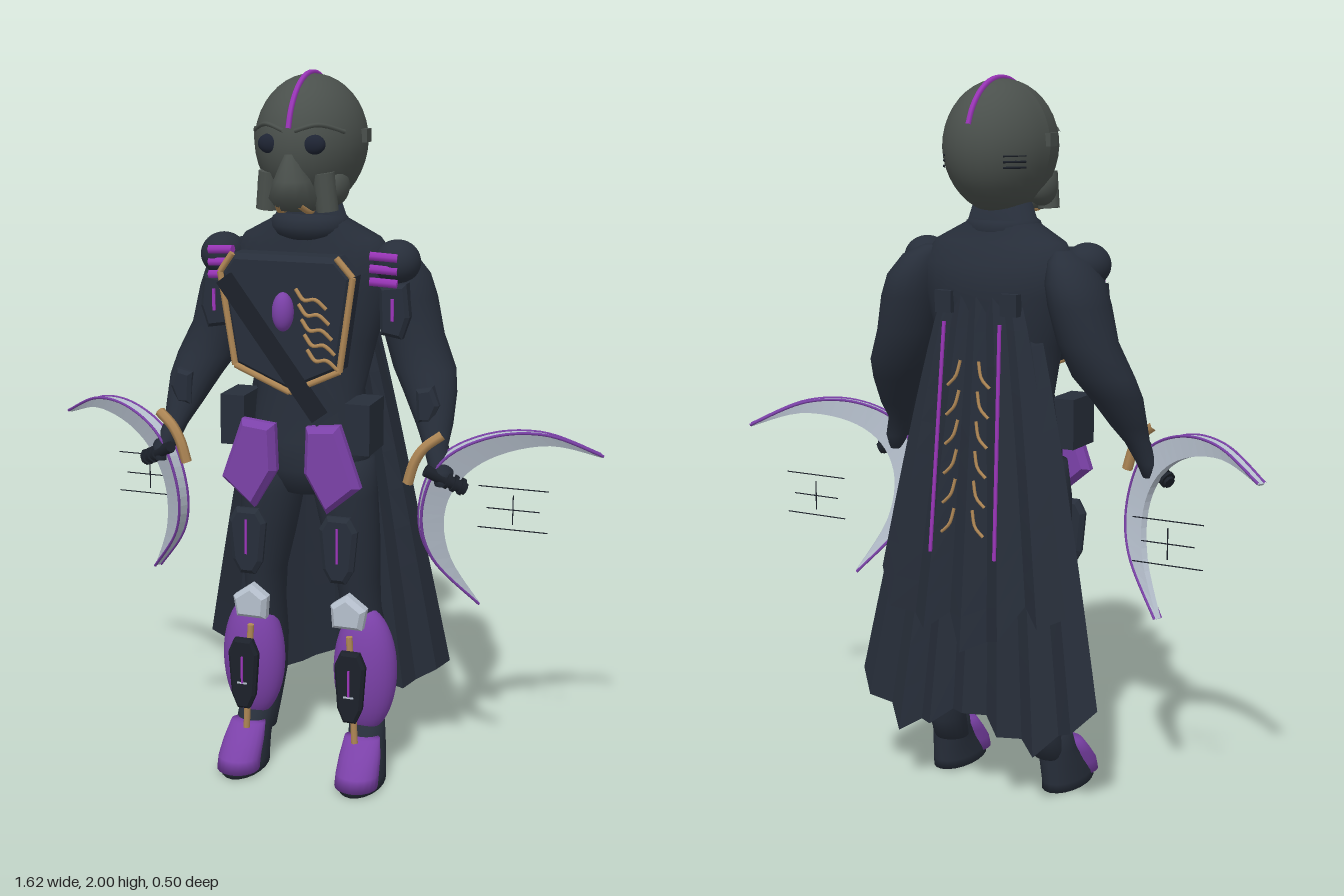
import * as THREE from 'three';

const mat = (name, color, side = THREE.FrontSide) =>
  Object.assign(new THREE.MeshStandardMaterial({ color, side }), { name });
const M = {
  cloth: mat('navy cloth', 0x272e3a, THREE.DoubleSide),
  helmet: mat('grey green helmet', 0x4a504c),
  purple: mat('purple armour', 0x7b41a8),
  glow: mat('bright purple trim', 0x9a35b8),
  silver: mat('steel', 0xb6c0cd, THREE.DoubleSide),
  gold: mat('bronze', 0xb08856),
  black: mat('black plate', 0x1c212a),
  lens: mat('dark lens', 0x1e2433),
};
const V = (x, y, z) => new THREE.Vector3(x, y, z);

// Skin a grid of points; rows run upward, loops close when asked
function skin(rows, closed, flat) {
  const n = rows[0].length, idx = [], m = closed ? n : n - 1;
  for (let i = 0; i < rows.length - 1; i++)
    for (let j = 0; j < m; j++) {
      const a = i * n + j, b = i * n + (j + 1) % n;
      idx.push(a, a + n, b, b, a + n, b + n);
    }
  let g = new THREE.BufferGeometry();
  g.setAttribute('position', new THREE.Float32BufferAttribute(rows.flat(2), 3));
  g.setIndex(idx);
  if (flat) g = g.toNonIndexed();
  g.computeVertexNormals();
  return g;
}
// Body form from ellipses [x, y, z, rx, rz], lowest first, closed at both ends
function loft(rings, sides = 20) {
  const ends = r => [r[0], r[1], r[2], 0.0001, 0.0001];
  const all = [ends(rings[0]), ...rings, ends(rings[rings.length - 1])];
  return skin(all.map(([x, y, z, rx, rz]) => Array.from({ length: sides }, (_, k) => {
    const a = k / sides * Math.PI * 2;
    return [x + rx * Math.cos(a), y, z + rz * Math.sin(a)];
  })), true);
}
const ball = (x, y, z, rx, ry, rz) => new THREE.SphereGeometry(1, 28, 20).scale(rx, ry, rz).translate(x, y, z);
const box = (x, y, z, w, h, d, rz = 0) => new THREE.BoxGeometry(w, h, d).rotateZ(rz).translate(x, y, z);
const tube = (pts, r, seg = 16) =>
  new THREE.TubeGeometry(new THREE.CatmullRomCurve3(pts.map(p => V(...p))), seg, r, 6);
function rod(a, b, r, sides = 8) {
  const p = V(...a), q = V(...b), d = q.clone().sub(p);
  return new THREE.CylinderGeometry(r, r, d.length(), sides)
    .applyQuaternion(new THREE.Quaternion().setFromUnitVectors(V(0, 1, 0), d.normalize()))
    .translate(...p.add(q).multiplyScalar(0.5).toArray());
}
function plate(pts, z, depth, bevel = 0.01, thick = bevel) {
  return new THREE.ExtrudeGeometry(new THREE.Shape(pts.map(p => new THREE.Vector2(...p))), {
    depth, bevelThickness: thick, bevelSize: bevel, bevelOffset: -bevel, bevelSegments: 1,
  }).translate(0, 0, z);
}
function mirrored(g) {
  const c = g.clone().scale(-1, 1, 1);
  const i = c.index ? Array.from(c.index.array) : Array.from({ length: c.attributes.position.count }, (_, k) => k);
  c.setIndex(i.reverse());
  return c;
}

export function createModel() {
  const root = new THREE.Group();
  root.name = 'armouredWarrior';
  const add = (name, g, m) => {
    const mesh = new THREE.Mesh(g, m);
    mesh.name = name;
    root.add(mesh);
  };
  const both = (name, g, m) => { add(name + 'Left', g, m); add(name + 'Right', mirrored(g), m); };

  // Head: egg-shaped helmet narrowing to the jaw
  const skull = ball(0, 0, 0, 0.149, 0.18, 0.187), sp = skull.attributes.position;
  for (let i = 0; i < sp.count; i++) {
    const y = sp.getY(i);
    if (y < 0) sp.setX(i, sp.getX(i) * (1 + y * 0.3));
  }
  skull.computeVertexNormals();
  add('helmet', skull.translate(0, 1.81, -0.008), M.helmet);
  const arc = Array.from({ length: 13 }, (_, i) => {
    const a = 0.25 + i / 12 * 2.55;
    return [0, 1.81 + 0.182 * Math.sin(a), -0.008 + 0.191 * Math.cos(a)];
  });
  add('crest', tube(arc, 0.008, 40), M.glow);
  add('muzzle', loft([[0, 1.64, 0.1, 0.055, 0.06], [0, 1.675, 0.135, 0.065, 0.08], [0, 1.72, 0.145, 0.05, 0.06],
    [0, 1.79, 0.148, 0.018, 0.035]], 12), M.helmet);
  both('eye', ball(0.057, 1.815, 0.152, 0.036, 0.027, 0.02), M.lens);
  both('brow', tube([[0.015, 1.85, 0.175], [0.07, 1.865, 0.15], [0.125, 1.845, 0.09]], 0.006), M.helmet);
  both('earKnob', box(0.148, 1.83, -0.01, 0.025, 0.035, 0.04), M.helmet);
  both('cheekFilter', rod([0.085, 1.64, 0.11], [0.075, 1.74, 0.115], 0.03, 12), M.helmet);
  both('jawPad', ball(0.09, 1.7, 0.06, 0.035, 0.05, 0.06), M.helmet);
  both('breathPipe', tube([[0.03, 1.66, 0.175], [0.04, 1.64, 0.13], [0.03, 1.645, 0.05]], 0.009), M.gold);
  for (let i = 0; i < 3; i++) {
    const y = 1.79 - i * 0.015;
    both('sideVent', tube([[0.124, y, -0.1], [0.108, y, -0.13], [0.086, y, -0.157]], 0.003, 6), M.black);
  }

  // Torso and collar
  add('torso', loft([[0, 0.85, 0.01, 0.08, 0.08], [0, 0.92, 0.01, 0.175, 0.105], [0, 1.0, 0.01, 0.175, 0.105],
    [0, 1.14, 0, 0.155, 0.095], [0, 1.28, -0.015, 0.185, 0.115], [0, 1.42, -0.025, 0.225, 0.125],
    [0, 1.5, -0.022, 0.235, 0.115], [0, 1.56, -0.012, 0.195, 0.09], [0, 1.61, 0, 0.1, 0.08], [0, 1.68, 0, 0.075, 0.07]], 28), M.cloth);
  add('collar', new THREE.TorusGeometry(0.075, 0.036, 10, 28).rotateX(Math.PI / 2).scale(1, 1, 0.87).translate(0, 1.59, 0.005), M.cloth);

  // Chest plate with bronze rim, gem, ribs and strap
  const chest = [[-0.15, 1.53], [0.14, 1.53], [0.185, 1.48], [0.15, 1.23], [0.01, 1.165], [-0.145, 1.23], [-0.185, 1.48]];
  add('chestPlate', plate(chest, 0.13, 0.06, 0.015, 0.015), M.cloth);
  [[1, 2], [2, 3], [3, 4], [4, 5], [5, 6], [6, 0]].forEach(([a, b]) =>
    add('chestRim', rod([...chest[a], 0.2], [...chest[b], 0.2], 0.009, 6), M.gold));
  add('gem', ball(0, 1.385, 0.222, 0.029, 0.052, 0.03), M.purple);
  for (let i = 0; i < 5; i++) {
    const y = 1.445 - i * 0.04, x = 0.03 + i * 0.008;
    add('rib', tube([[x, y, 0.206], [x + 0.025, y - 0.028, 0.211], [x + 0.055, y - 0.025, 0.211], [x + 0.085, y - 0.05, 0.206]], 0.0055), M.gold);
  }
  add('strap', box(-0.035, 1.285, 0.212, 0.045, 0.45, 0.024, 0.64), M.black);
  add('strapPocket', box(0.075, 1.13, 0.155, 0.06, 0.1, 0.06, 0.64), M.cloth);

  // Arms with shoulder guards
  both('arm', loft([[0.41, 0.92, 0.1, 0.022, 0.03], [0.405, 0.96, 0.095, 0.034, 0.038], [0.38, 1.02, 0.07, 0.034, 0.038],
    [0.368, 1.07, 0.04, 0.05, 0.052], [0.345, 1.15, 0.005, 0.073, 0.07], [0.32, 1.21, -0.025, 0.086, 0.08],
    [0.283, 1.3, -0.045, 0.082, 0.088], [0.26, 1.4, -0.05, 0.082, 0.1], [0.245, 1.46, -0.05, 0.076, 0.098],
    [0.225, 1.515, -0.04, 0.055, 0.075], [0.205, 1.54, -0.03, 0.025, 0.035]]), M.cloth);
  both('shoulderGuard', ball(0.25, 1.5, 0.015, 0.063, 0.06, 0.07), M.cloth);
  for (let i = 0; i < 3; i++) both('shoulderSpike', rod([0.195, 1.523 - i * 0.034, 0.085], [0.268, 1.518 - i * 0.034, 0.075], 0.013, 6), M.glow);
  both('upperArmPlate', plate([[0.22, 1.31], [0.28, 1.3], [0.3, 1.36], [0.29, 1.45], [0.215, 1.44]], 0.03, 0.035), M.cloth);
  both('upperArmSlit', box(0.256, 1.38, 0.077, 0.008, 0.06, 0.008), M.glow);
  both('forearmPlate', plate([[0.33, 1.08], [0.37, 1.08], [0.39, 1.13], [0.37, 1.18], [0.325, 1.17]], 0.05, 0.03), M.cloth);

  // Crescent blades held on a tilted plane, trimmed along both outer edges
  const lean = (x, y) => 0.1 - 0.5155 * (x - 0.4) + 0.178 * (y - 0.95);
  const spline = pts => new THREE.SplineCurve(pts.map(p => new THREE.Vector2(...p)));
  const outer = spline([[0.8, 0.985], [0.66, 1.053], [0.52, 1.053], [0.4, 0.985], [0.35, 0.84], [0.375, 0.7], [0.487, 0.555]]);
  const inner = spline([[0.797, 0.98], [0.67, 1.02], [0.54, 0.998], [0.45, 0.933], [0.407, 0.83], [0.42, 0.7], [0.49, 0.557]]);
  const rows = [], frontTrim = [], backTrim = [];
  for (let i = 0; i <= 30; i++) {
    const o = outer.getPoint(i / 30), n = inner.getPoint(i / 30), t = 0.011 + 0.1 * o.distanceTo(n);
    const at = (p, d) => [p.x + d * 0.46, p.y, lean(p.x, p.y) + d * 0.89];
    rows.push([at(o, t), at(n, t * 0.6), at(n, -t * 0.6), at(o, -t)]);
    frontTrim.push(at(o, t));
    backTrim.push(at(o, -t));
  }
  const tip = r => r.map(() => r[0].map((_, k) => (r[0][k] + r[2][k]) / 2));
  both('blade', skin([tip(rows[0]), ...rows, tip(rows[30])], true, true), M.silver);
  both('bladeFrontTrim', tube(frontTrim, 0.004, 48), M.purple);
  both('bladeBackTrim', tube(backTrim, 0.004, 48), M.purple);
  both('bladeHilt', rod([0.37, 0.965, 0.135], [0.47, 0.91, 0.09], 0.017), M.black);
  for (let i = 0; i < 3; i++) both('hiltRing', rod([0.42 + i * 0.018, 0.938 - i * 0.009, 0.112 - i * 0.008],
    [0.428 + i * 0.018, 0.934 - i * 0.009, 0.1085 - i * 0.008], 0.024), M.black);
  both('handGuard', tube([[0.322, 0.925, 0.135], [0.34, 0.985, 0.135], [0.365, 1.025, 0.13], [0.41, 1.06, 0.115]], 0.015), M.gold);

  // Thin floating markers beside each hand
  [[0.862, 0.2], [0.8, 0.15], [0.742, 0.2]].forEach(([y, w]) => both('markerLine', box(0.555, y, -0.12, w, 0.0025, 0.0025), M.black));
  both('markerUpright', box(0.555, 0.8, -0.12, 0.0025, 0.085, 0.0025), M.black);

  // Hips: pouches and thin tasset plates
  both('pouch', box(0.18, 1.06, 0.075, 0.07, 0.14, 0.13), M.cloth);
  both('tasset', plate([[0.045, 1.065], [0.14, 1.075], [0.2, 0.905], [0.105, 0.825], [0.04, 0.935]], 0.15, 0.02, 0.015, 0.022), M.purple);

  // Legs, plates and boots
  both('leg', loft([[0.165, 0.1, -0.01, 0.05, 0.05], [0.16, 0.17, -0.04, 0.05, 0.06], [0.155, 0.27, -0.045, 0.062, 0.065],
    [0.155, 0.38, -0.04, 0.066, 0.08], [0.145, 0.5, -0.02, 0.056, 0.075], [0.14, 0.6, -0.005, 0.062, 0.075],
    [0.125, 0.72, 0.01, 0.08, 0.085], [0.108, 0.85, 0.015, 0.09, 0.1], [0.1, 0.95, 0.01, 0.085, 0.1]]), M.cloth);
  both('calfShell', ball(0.17, 0.325, 0.015, 0.093, 0.188, 0.068), M.purple);
  const hex = (x, y, w, h) => [[x - w * 0.6, y + h], [x + w * 0.6, y + h], [x + w, y + h * 0.6], [x + w * 0.8, y - h * 0.6],
    [x + w * 0.4, y - h], [x - w * 0.4, y - h], [x - w * 0.8, y - h * 0.6], [x - w, y + h * 0.6]];
  both('shinRod', rod([0.165, 0.13, 0.095], [0.148, 0.45, 0.098], 0.01), M.gold);
  both('shinPlate', plate(hex(0.16, 0.31, 0.045, 0.105), 0.115, 0.015, 0.008), M.black);
  both('shinMark', box(0.16, 0.325, 0.139, 0.006, 0.08, 0.006), M.glow);
  both('shinBar', box(0.16, 0.285, 0.139, 0.03, 0.004, 0.006), M.silver);
  both('thighPlate', plate(hex(0.133, 0.72, 0.055, 0.095), 0.145, 0.01, 0.012, 0.01), M.cloth);
  both('thighMark', box(0.133, 0.735, 0.166, 0.006, 0.1, 0.006), M.glow);
  both('kneeCap', plate([[0.1, 0.475], [0.187, 0.475], [0.198, 0.535], [0.143, 0.575], [0.095, 0.54]], 0.08, 0.025, 0.012, 0.015), M.silver);
  both('boot', loft([[0.18, 0, 0.065, 0.062, 0.115], [0.18, 0.025, 0.06, 0.061, 0.11], [0.178, 0.07, 0.03, 0.056, 0.085],
    [0.174, 0.12, 0.005, 0.053, 0.062], [0.168, 0.185, -0.01, 0.05, 0.055]]), M.cloth);
  both('toeCap', loft([[0.18, 0.015, 0.125, 0.062, 0.062], [0.18, 0.05, 0.113, 0.062, 0.06], [0.178, 0.09, 0.085, 0.06, 0.05],
    [0.175, 0.135, 0.055, 0.052, 0.035]]), M.purple);

  // Pleated cape: long lower layer and shorter upper layer
  function cape(name, pleats, top, w0, w1, z0, z1, hem, bow, depth) {
    const steps = 10, cols = pleats * 2;
    add(name, skin(Array.from({ length: steps + 1 }, (_, r) => Array.from({ length: cols + 1 }, (_, k) => {
      const t = 1 - r / steps, u = k / cols * 2 - 1;
      const fold = (k % 2 ? -1 : 1) * (0.005 + depth * t);
      return [u * (w0 + (w1 - w0) * Math.pow(t, 0.85)), top + (hem(Math.abs(u), k) - top) * t,
        z0 + (z1 - z0) * t + bow * u * u + fold];
    })), false, true), M.cloth);
  }
  cape('capeLower', 7, 1.4, 0.13, 0.375, -0.11, -0.215,
    (u, k) => (u < 0.55 ? 0.27 - 0.18 * u : 0.17 + 0.29 * (u - 0.55)) + (k % 2 ? 0 : 0.015), 0.04, 0.016);
  cape('capeUpper', 5, 1.42, 0.12, 0.29, -0.145, -0.224, (u, k) => 0.45 + 0.12 * u + (k % 4 === 2 ? 0.07 : 0), 0.02, 0.02);
  both('capeClasp', box(0.1, 1.4, -0.14, 0.05, 0.06, 0.03), M.cloth);
  both('capeStripe', rod([0.085, 1.35, -0.174], [0.1, 0.72, -0.232], 0.006, 6), M.glow);
  for (let i = 0; i < 6; i++) {
    const y = 1.25 - i * 0.08, z = -0.186 - i * 0.0075;
    both('capeFeather', tube([[0.028, y, z], [0.04, y - 0.045, z - 0.006], [0.065, y - 0.07, z - 0.006]], 0.0045, 6), M.gold);
  }
  return root;
}
